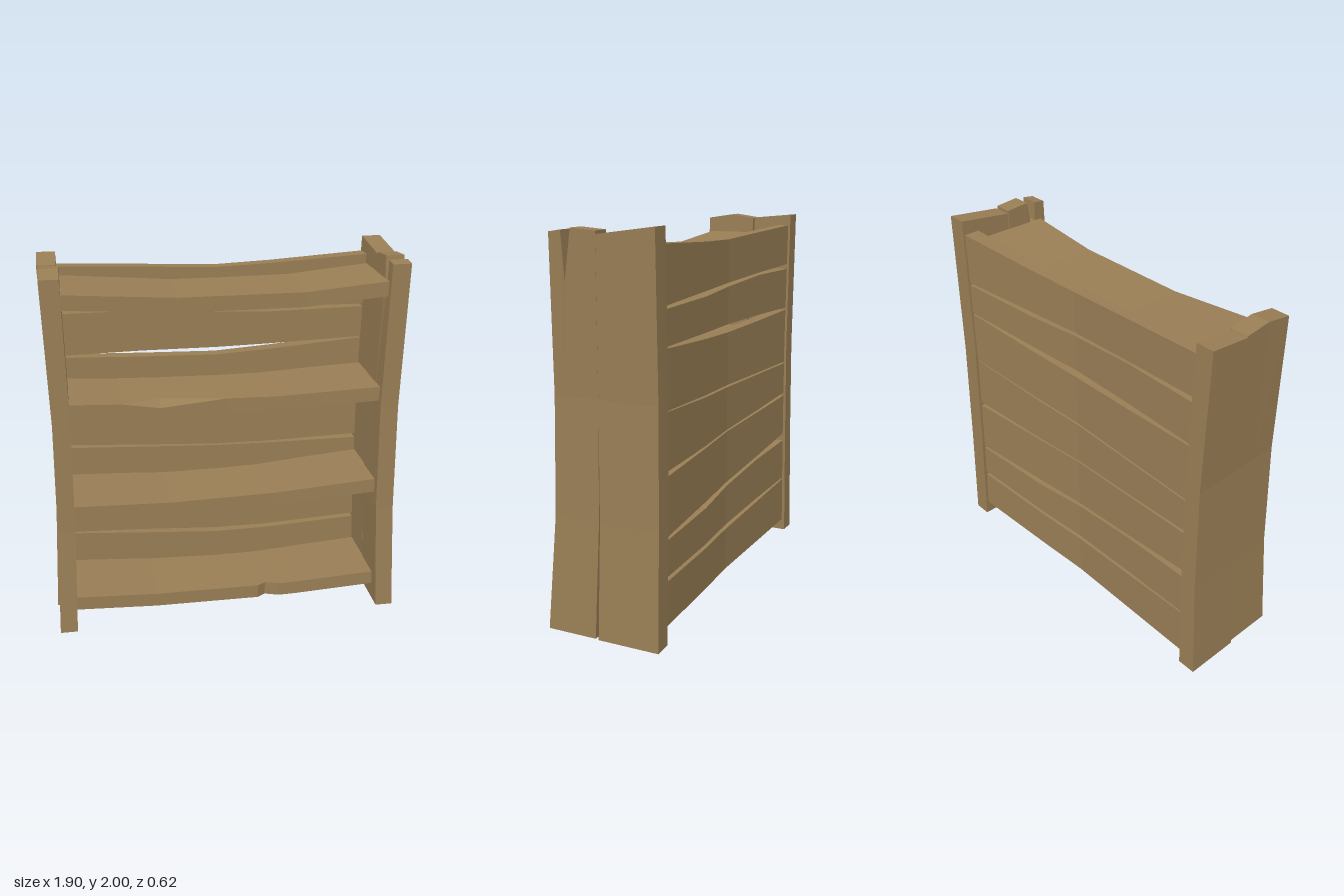
import * as THREE from 'three';

const wood = new THREE.MeshStandardMaterial({ color: 0x997e55 });
wood.name = 'wood';

// Skins a list of rings (counter-clockwise seen from the loft direction) and caps both ends
function loft(name, rings) {
  const pos = [];
  const v = (p) => new THREE.Vector3(...p);
  const tri = (a, b, c) => {
    const n = v(b).sub(v(a)).cross(v(c).sub(v(a)));
    if (n.length() > 1e-7) pos.push(...a, ...b, ...c);
  };
  const quad = (a, b, c, d) => { tri(a, b, c); tri(a, c, d); };
  const n = rings[0].length;
  for (let r = 0; r < rings.length - 1; r++) {
    for (let i = 0; i < n; i++) {
      const j = (i + 1) % n;
      quad(rings[r][i], rings[r][j], rings[r + 1][j], rings[r + 1][i]);
    }
  }
  const first = rings[0], last = rings[rings.length - 1];
  for (let i = 0; i < n / 2 - 1; i++) {
    quad(last[i], last[i + 1], last[n - 2 - i], last[n - 1 - i]);
    quad(first[n - 1 - i], first[n - 2 - i], first[i + 1], first[i]);
  }
  const geo = new THREE.BufferGeometry();
  geo.setAttribute('position', new THREE.Float32BufferAttribute(pos, 3));
  geo.computeVertexNormals();
  const mesh = new THREE.Mesh(geo, wood);
  mesh.name = name;
  return mesh;
}

// Upright plank: levels are [y, x0, x1, zFront, zBack]; tops are [fraction front to back, y]
function upright(name, levels, tops) {
  return loft(name, levels.map(([y, x0, x1, zf, zb], k) => {
    const side = (x) => tops.map(([f, ty]) =>
      [x, k === levels.length - 1 ? ty : y, zf + (zb - zf) * f]);
    return [...side(x1), ...side(x0).reverse()];
  }));
}

// Horizontal board: sections are [x, yBottom, yTop, zFront, zBack, chip on the front top edge]
function board(name, sections) {
  return loft(name, sections.map(([x, yb, yt, zf, zb, c = 0]) => [
    [x, yb, zf], [x, yb, zb], [x, yt, zb], [x, yt, zf - c * 2], [x, yt - c, zf],
  ]));
}

// Piecewise linear bow between left, middle and right values
const bow = (x, l, m, r) => (x < 0 ? m + (l - m) * (-x / 0.83) : m + (r - m) * (x / 0.83));

export function createModel() {
  const group = new THREE.Group();
  group.name = 'bookcase';

  // Side planks, two per side
  group.add(upright('leftFrontUpright', [
    [0, 0.848, 0.942, 0.31, 0.042],
    [0.6, 0.825, 0.922, 0.265, 0.021],
    [1.2, 0.815, 0.912, 0.255, 0.016],
    [2, 0.832, 0.93, 0.25, 0.004],
  ], [[0, 1.965], [0.26, 1.975], [0.33, 1.74], [0.47, 1.985], [1, 1.975]]));
  group.add(upright('leftBackUpright', [
    [0, 0.85, 0.948, 0.022, -0.305],
    [0.6, 0.83, 0.928, 0.012, -0.303],
    [1.2, 0.82, 0.918, 0.012, -0.3],
    [2, 0.835, 0.936, 0, -0.298],
  ], [[0, 1.96], [1, 2]]));
  group.add(upright('rightFrontUpright', [
    [0, -0.94, -0.847, 0.3, 0.03],
    [0.6, -0.917, -0.825, 0.26, 0],
    [1.2, -0.907, -0.815, 0.245, -0.02],
    [2, -0.925, -0.825, 0.235, -0.05],
  ], [[0, 1.95], [0.5, 1.972], [1, 1.953]]));
  group.add(upright('rightBackUpright', [
    [0, -0.952, -0.85, 0.02, -0.285],
    [0.6, -0.922, -0.83, -0.005, -0.283],
    [1.2, -0.912, -0.82, -0.025, -0.28],
    [2, -0.935, -0.838, -0.055, -0.28],
  ], [[0, 1.955], [1, 1.976]]));

  // Shelves: [x, front top edge, optional chip, optional dent]
  const shelves = [
    [[-0.86, 0.167], [-0.4, 0.137], [0.18, 0.13], [0.225, 0.13, 0, 0.03], [0.3, 0.134], [0.4, 0.138], [0.86, 0.17]],
    [[-0.86, 0.724], [-0.3, 0.7], [0.25, 0.712], [0.86, 0.764]],
    [[-0.86, 1.302], [-0.55, 1.285], [-0.35, 1.28, 0.03], [0, 1.278], [0.25, 1.276], [0.86, 1.304]],
    [[-0.86, 1.872], [-0.25, 1.828], [0.4, 1.83], [0.86, 1.874]],
  ];
  shelves.forEach((s, k) => group.add(board(`shelf${k + 1}`, s.map(([x, y, chip = 0, dent = 0]) =>
    [x, y - 0.077, y, bow(x, 0.22, 0.195, 0.22) - dent, -0.19, chip]))));

  // Back slats: heights at x = -0.83, -0.4, 0, 0.3, 0.83 along the lower and upper edges
  const xs = [-0.83, -0.4, 0, 0.3, 0.83];
  const slats = [
    [[0.068, 0.062, 0.057, 0.062, 0.08], [0.34, 0.315, 0.293, 0.292, 0.312]],
    [[0.35, 0.338, 0.32, 0.316, 0.335], [0.595, 0.58, 0.542, 0.516, 0.52]],
    [[0.642, 0.6, 0.565, 0.552, 0.535], [0.883, 0.867, 0.853, 0.844, 0.836]],
    [[0.902, 0.88, 0.863, 0.856, 0.862], [1.085, 1.093, 1.1, 1.113, 1.153]],
    [[1.095, 1.103, 1.112, 1.124, 1.157], [1.415, 1.404, 1.398, 1.413, 1.45]],
    [[1.426, 1.438, 1.441, 1.444, 1.456], [1.658, 1.662, 1.64, 1.626, 1.628]],
    [[1.688, 1.676, 1.66, 1.653, 1.642], [1.915, 1.9, 1.885, 1.894, 1.922]],
  ];
  slats.forEach(([lo, hi], k) => group.add(board(`backSlat${k + 1}`, xs.map((x, i) =>
    [x * 1.03, lo[i], hi[i], bow(x, -0.2, -0.175, -0.2), bow(x, -0.268, -0.243, -0.288)]))));

  return group;
}
